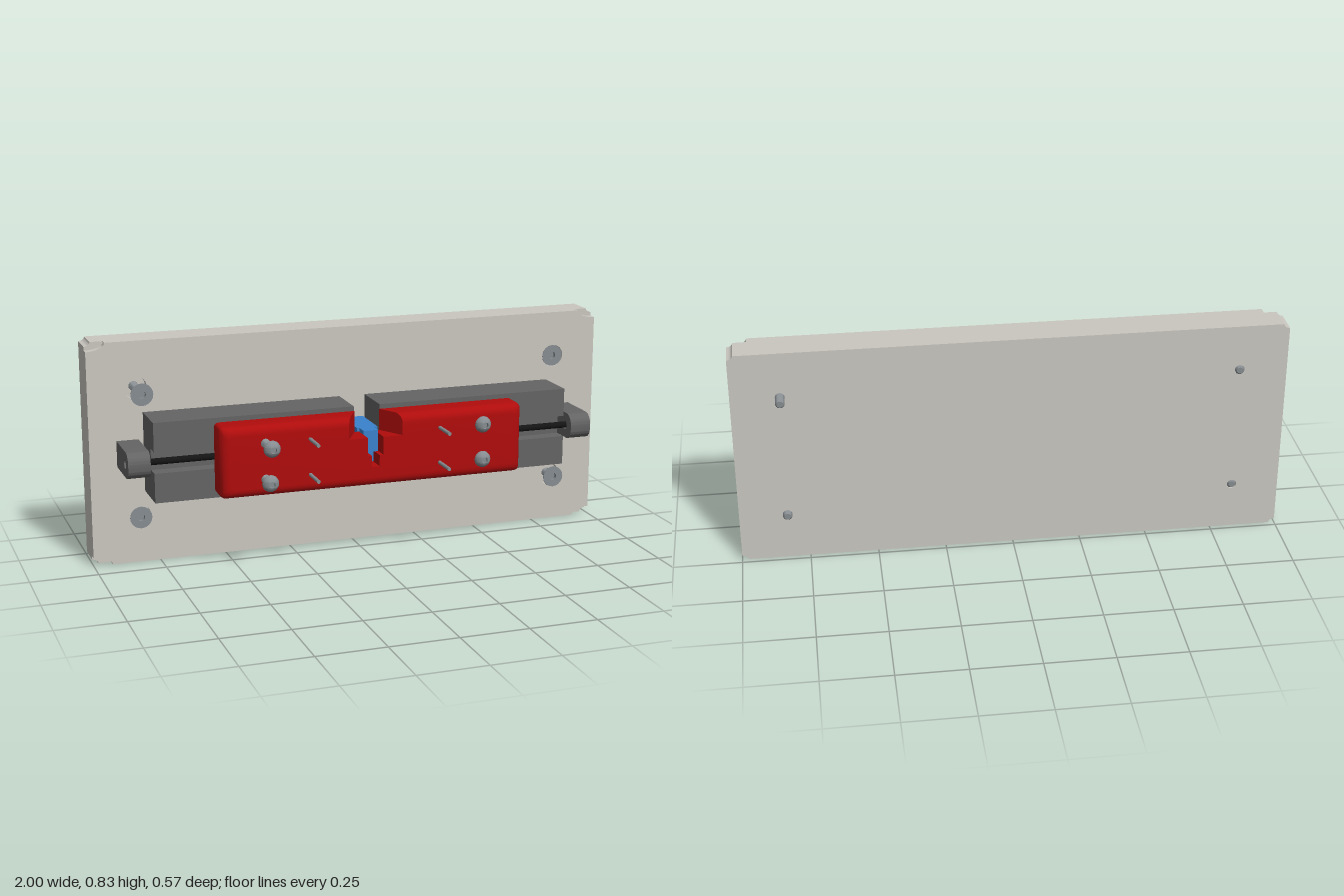
import * as THREE from 'three';
import { toCreasedNormals } from 'three/addons/utils/BufferGeometryUtils.js';

const paint = (name, color) => Object.assign(new THREE.MeshStandardMaterial({ color }), { name });

export function createModel() {
  const group = new THREE.Group();
  const ivory = paint('ivory', 0xcac7c0), grey = paint('dark grey', 0x646464), red = paint('red', 0xb00c0c);
  const steel = paint('steel', 0x868c90), blue = paint('blue', 0x3a82cc), black = paint('black', 0x141414);

  const add = (name, geo, mat, x = 0, y = 0, z = 0) => {
    const mesh = new THREE.Mesh(geo, mat);
    mesh.name = name;
    mesh.position.set(x, y, z);
    group.add(mesh);
    return mesh;
  };
  const box = (name, mat, x0, x1, y0, y1, z0, z1) =>
    add(name, new THREE.BoxGeometry(x1 - x0, y1 - y0, z1 - z0), mat, (x0 + x1) / 2, (y0 + y1) / 2, (z0 + z1) / 2);
  const extrude = (shape, depth, curveSegments = 8) =>
    toCreasedNormals(new THREE.ExtrudeGeometry(shape, { depth, bevelEnabled: false, curveSegments }), 0.6);
  const circle = (x, y, r) => new THREE.Path().absarc(x, y, r, 0, Math.PI * 2, true);

  // Base plate: scooped corners and countersunk holes, in a back and a front layer
  const H = 0.832;
  const plateLayer = (nx, ny, hole) => {
    const s = new THREE.Shape();
    [[1, 0], [1, H], [-1, H], [-1, 0]].forEach(([x, y], i) => {
      const a = Math.PI * (1 + i / 2);
      s.absellipse(x, y, nx, ny, a, a - Math.PI / 2, true);
    });
    for (const x of [-0.825, 0.825]) for (const y of [0.18, 0.66]) s.holes.push(circle(x, y, hole));
    return s;
  };
  add('plateBack', extrude(plateLayer(0.022, 0.016, 0.018), 0.105), ivory, 0, 0, -0.23);
  add('plateFront', extrude(plateLayer(0.07, 0.03, 0.043), 0.03), ivory, 0, 0, -0.125);

  // Grey rail blocks with a groove along the front
  for (const [x0, x1] of [[-0.8, -0.05], [0.05, 0.8]]) {
    box('railBack', grey, x0, x1, 0.27, 0.567, -0.095, 0.02);
    box('railLower', grey, x0, x1, 0.27, 0.38, 0.02, 0.073);
    box('railUpper', grey, x0, x1, 0.46, 0.567, 0.02, 0.073);
  }

  // End stops: rounded front, bored for the rod (profile x is minus z)
  const stop = new THREE.Shape();
  stop.moveTo(0.095, 0.37);
  stop.lineTo(0.095, 0.467);
  stop.lineTo(-0.065, 0.467);
  stop.absarc(-0.065, 0.427, 0.04, Math.PI / 2, Math.PI, false);
  stop.absarc(-0.065, 0.41, 0.04, Math.PI, Math.PI * 1.5, false);
  stop.closePath();
  stop.holes.push(circle(-0.05, 0.419, 0.017));
  for (const x of [-0.9, 0.817]) add('endStop', extrude(stop, 0.081), grey, x).rotation.y = Math.PI / 2;

  // Guide rod
  add('guideRod', new THREE.CylinderGeometry(0.012, 0.012, 1.74, 16), black, 0, 0.419, 0.05).rotation.z = Math.PI / 2;

  // Blue centre guide with a narrow tongue below its nose
  box('guideBody', blue, -0.037, 0.043, 0.355, 0.483, -0.095, 0.073);
  box('guideNose', blue, -0.028, 0.028, 0.402, 0.483, 0.073, 0.12);
  box('guideTongue', blue, -0.014, 0.014, 0.362, 0.402, 0.073, 0.11);

  // Red cover: sections stacked along z, rounded front edge, flared notch on top
  const Z0 = 0.075, Z1 = 0.175, R = 0.033;
  const section = (z) => {
    const d = Math.max(0, z - (Z1 - R));
    const inset = R - Math.sqrt(Math.max(0, R * R - d * d));
    const w = 0.58 - inset, top = 0.55 - inset, bottom = 0.286 + inset, r = 0.018;
    const pts = [];
    const corner = (x, y, a) => {
      for (let i = 0; i <= 4; i++) {
        const t = a + (i / 4) * Math.PI / 2;
        pts.push(new THREE.Vector2(x + r * Math.cos(t), y + r * Math.sin(t)));
      }
    };
    const h = 0.048 + 0.055 * (z - Z0) / (Z1 - Z0);
    const notch = [[h, top], [h, 0.47], [0.03, 0.47], [0.03, 0.402], [0.015, 0.402], [0.015, 0.36]];
    corner(-w + r, bottom + r, Math.PI);
    corner(w - r, bottom + r, Math.PI * 1.5);
    corner(w - r, top - r, 0);
    notch.forEach(([x, y]) => pts.push(new THREE.Vector2(x, y)));
    notch.reverse().forEach(([x, y]) => pts.push(new THREE.Vector2(-x, y)));
    corner(-w + r, top - r, Math.PI / 2);
    return pts;
  };
  const levels = [Z0];
  for (let i = 0; i <= 6; i++) levels.push(Z1 - R + R * Math.sin((i / 6) * Math.PI / 2));
  const sections = levels.map(section);
  const n = sections[0].length, last = (levels.length - 1) * n;
  const pos = [], index = [];
  sections.forEach((pts, k) => pts.forEach((p) => pos.push(p.x, p.y, levels[k])));
  for (let k = 0; k < levels.length - 1; k++) {
    for (let i = 0; i < n; i++) {
      const a = k * n + i, b = k * n + (i + 1) % n;
      index.push(a, b, b + n, a, b + n, a + n);
    }
  }
  for (const [a, b, c] of THREE.ShapeUtils.triangulateShape(sections[0], [])) index.push(a, c, b);
  for (const [a, b, c] of THREE.ShapeUtils.triangulateShape(sections[sections.length - 1], []))
    index.push(last + a, last + b, last + c);
  const cover = new THREE.BufferGeometry();
  cover.setAttribute('position', new THREE.Float32BufferAttribute(pos, 3));
  cover.setIndex(index);
  add('cover', toCreasedNormals(cover, 0.6), red);

  // Screws: ridged shank from tail to neck, then a head profile, turned to face +z
  const screw = (name, x, y, tail, neck, head) => {
    const pts = [[0, tail], [0.012, tail]];
    const turns = Math.round((neck - tail) / 0.013), step = (neck - tail) / turns;
    for (let i = 0; i < turns; i++) {
      pts.push([0.017, tail + (i + 0.5) * step], [0.012, tail + (i + 1) * step]);
    }
    head.forEach(([r, z]) => pts.push([r, neck + z]));
    const geo = new THREE.LatheGeometry(pts.map(([r, z]) => new THREE.Vector2(r, z)), 20);
    add(name, toCreasedNormals(geo, 0.5), steel, x, y).rotation.x = Math.PI / 2;
  };

  const flatHead = [[0.015, 0], [0.041, 0.029], [0.041, 0.032], [0.014, 0.032], [0.014, 0.016], [0, 0.016]];
  for (const [x, y, tail, front] of [
    [-0.825, 0.66, -0.238, 0.022], [0.825, 0.66, -0.283, -0.097],
    [-0.825, 0.18, -0.232, -0.06], [0.825, 0.18, -0.246, -0.057],
  ]) screw('plateScrew', x, y, tail, front - 0.032, flatHead);

  const domeHead = [[0.031, 0], [0.03, 0.007], [0.025, 0.015], [0.017, 0.022], [0.012, 0.024], [0.012, 0.012], [0, 0.012]];
  for (const [x, y, neck] of [
    [-0.418, 0.486, 0.26], [0.418, 0.486, 0.182], [-0.418, 0.353, 0.235], [0.418, 0.353, 0.182],
  ]) screw('coverScrew', x, y, 0.12, neck, domeHead);

  // Thin pins
  for (const x of [-0.25, 0.25]) {
    for (const y of [0.353, 0.486]) {
      add('pin', new THREE.CylinderGeometry(0.007, 0.007, 0.13, 12), steel, x, y, 0.208).rotation.x = Math.PI / 2;
    }
  }
  return group;
}
